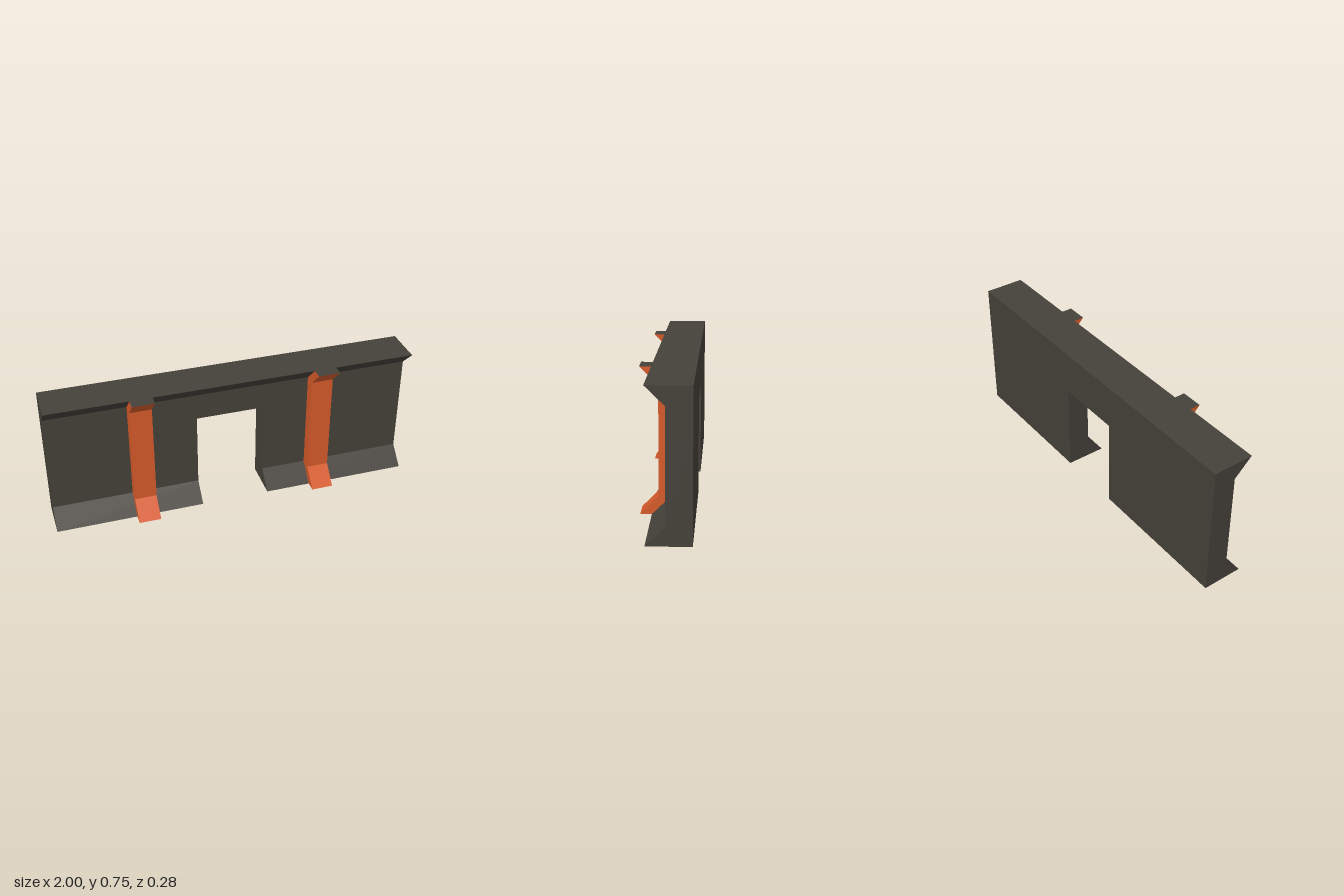
import * as THREE from 'three';

const HEIGHT = 0.75, DOOR = 0.188, BACK = -0.138;
const LEVELS = [0, 0.095, 0.51, 0.657, HEIGHT]; // floor, base crease, lintel, cornice crease, top
const WALL_Z = [0.083, -0.012, -0.012, -0.012, 0.083];
const RIB_Z = [0.141, 0.049, 0.049, 0.049, 0.141];

// Flat-shaded mesh from a list of four-cornered faces (counter-clockwise from outside)
function quadMesh(name, quads, color) {
  const pos = [];
  for (const [a, b, c, d] of quads) pos.push(...a, ...b, ...c, ...a, ...c, ...d);
  const geo = new THREE.BufferGeometry();
  geo.setAttribute('position', new THREE.Float32BufferAttribute(pos, 3));
  geo.computeVertexNormals();
  const mesh = new THREE.Mesh(geo, new THREE.MeshStandardMaterial({ color, flatShading: true }));
  mesh.name = name;
  return mesh;
}

// Front, ends and (optionally) back of one storey between levels i and i + 1
function storey(i, x0, x1, front, back, withBack) {
  const y0 = LEVELS[i], y1 = LEVELS[i + 1];
  const f0 = front[i], f1 = front[i + 1], b0 = back[i], b1 = back[i + 1];
  const faces = [
    [[x0, y0, f0], [x1, y0, f0], [x1, y1, f1], [x0, y1, f1]],
    [[x1, y0, f0], [x1, y0, b0], [x1, y1, b1], [x1, y1, f1]],
    [[x0, y0, b0], [x0, y0, f0], [x0, y1, f1], [x0, y1, b1]],
  ];
  if (withBack) faces.push([[x1, y0, b0], [x0, y0, b0], [x0, y1, b1], [x1, y1, b1]]);
  return faces;
}

// Level face looking up or down
function flat(x0, x1, y, zFront, zBack, up) {
  const q = [[x0, y, zFront], [x1, y, zFront], [x1, y, zBack], [x0, y, zBack]];
  return up ? q : q.reverse();
}

export function createModel() {
  const model = new THREE.Group();
  model.name = 'gateWall';
  const dark = 0x45413a, orange = 0xd65a2a;

  // Wall: two piers below the lintel, full width above it
  const piers = [[-1, -DOOR], [DOOR, 1]], full = [[-1, 1]];
  const back = LEVELS.map(() => BACK);
  const wall = [];
  for (let i = 0; i < LEVELS.length - 1; i++) {
    for (const [x0, x1] of i < 2 ? piers : full) wall.push(...storey(i, x0, x1, WALL_Z, back, true));
  }
  for (const [x0, x1] of piers) wall.push(flat(x0, x1, 0, WALL_Z[0], BACK, false));
  wall.push(flat(-DOOR, DOOR, LEVELS[2], WALL_Z[2], BACK, false));
  wall.push(flat(-1, 1, HEIGHT, WALL_Z[4], BACK, true));
  model.add(quadMesh('wall', wall, dark));

  // Coloured ribs following the wall profile, with dark ends
  for (const [side, x] of [['right', -0.502], ['left', 0.498]]) {
    const x0 = x - 0.06, x1 = x + 0.06, rib = [];
    for (let i = 0; i < LEVELS.length - 1; i++) rib.push(...storey(i, x0, x1, RIB_Z, WALL_Z, false));
    model.add(quadMesh(side + 'Rib', rib, orange));
    model.add(quadMesh(side + 'RibEnds', [
      flat(x0, x1, 0, RIB_Z[0], WALL_Z[0], false),
      flat(x0, x1, HEIGHT, RIB_Z[4], WALL_Z[4], true),
    ], dark));
  }

  // The wall stands very slightly askew
  model.rotation.y = -0.0028;
  return model;
}
